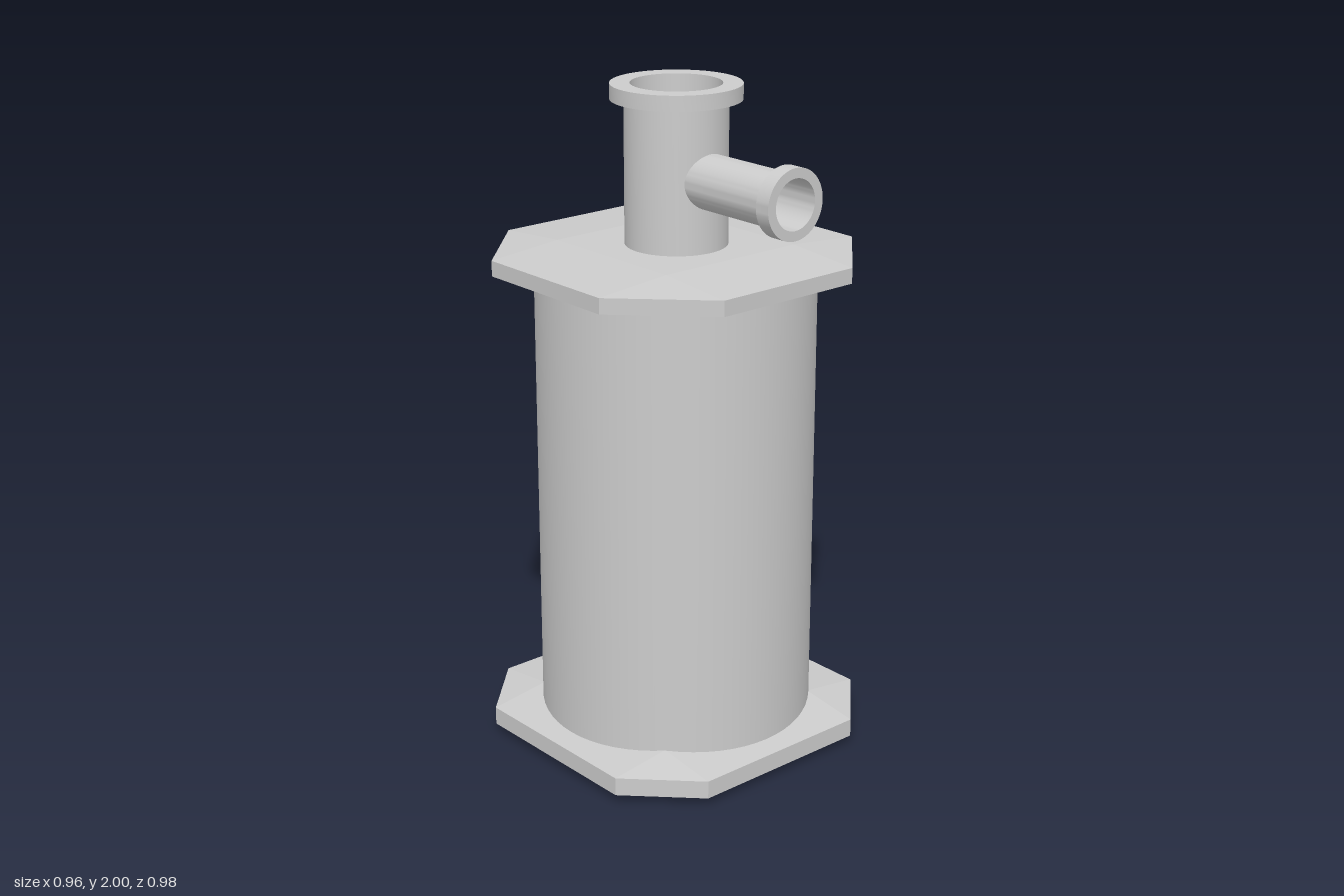
import * as THREE from 'three';
import { toCreasedNormals } from 'three/addons/utils/BufferGeometryUtils.js';
import { ConvexGeometry } from 'three/addons/geometries/ConvexGeometry.js';

const material = new THREE.MeshStandardMaterial({ color: 0xcccccc });

function addMesh(group, name, geometry, x = 0, y = 0, z = 0) {
  const mesh = new THREE.Mesh(geometry, material);
  mesh.name = name;
  mesh.position.set(x, y, z);
  group.add(mesh);
  return mesh;
}

// Chamfered square plate, thicker in its central square than at its rim
function plateGeometry(half, inner, rimHeight, centreHeight) {
  const points = [];
  for (const sx of [-1, 1]) for (const sy of [-1, 1]) for (const sz of [-1, 1]) {
    points.push(
      new THREE.Vector3(sx * half, sy * rimHeight / 2, sz * inner),
      new THREE.Vector3(sx * inner, sy * rimHeight / 2, sz * half),
      new THREE.Vector3(sx * inner, sy * centreHeight / 2, sz * inner)
    );
  }
  return new ConvexGeometry(points);
}

// Hollow pipe along y, from 0 to length, with a flange at its far end
function pipeGeometry(radius, bore, length, flangeRadius, flangeHeight) {
  const profile = [
    [bore, 0], [radius, 0],
    [radius, length - flangeHeight], [flangeRadius, length - flangeHeight],
    [flangeRadius, length], [bore, length], [bore, 0]
  ].map(([x, y]) => new THREE.Vector2(x, y));
  return toCreasedNormals(new THREE.LatheGeometry(profile, 64), Math.PI / 6);
}

export function createModel() {
  const group = new THREE.Group();
  group.name = 'flangedVessel';
  const axisZ = -0.007;

  // Main drum between the two end plates
  addMesh(group, 'body', new THREE.CylinderGeometry(0.412, 0.412, 1.42, 64), 0, 0.77, axisZ);

  // End plates
  addMesh(group, 'basePlate', plateGeometry(0.48, 0.29, 0.055, 0.104), 0, 0.052, axisZ - 0.002);
  addMesh(group, 'topPlate', plateGeometry(0.48, 0.242, 0.046, 0.084), 0, 1.492, axisZ - 0.002);

  // Upright neck with an open mouth
  addMesh(group, 'neck', pipeGeometry(0.15, 0.132, 0.48, 0.19, 0.045), 0, 1.52, axisZ + 0.003);

  // Forward outlet, reaching through the neck wall
  const outlet = addMesh(group, 'outlet', pipeGeometry(0.08, 0.073, 0.475, 0.102, 0.048), 0, 1.74, 0.012);
  outlet.rotation.x = Math.PI / 2;

  return group;
}
